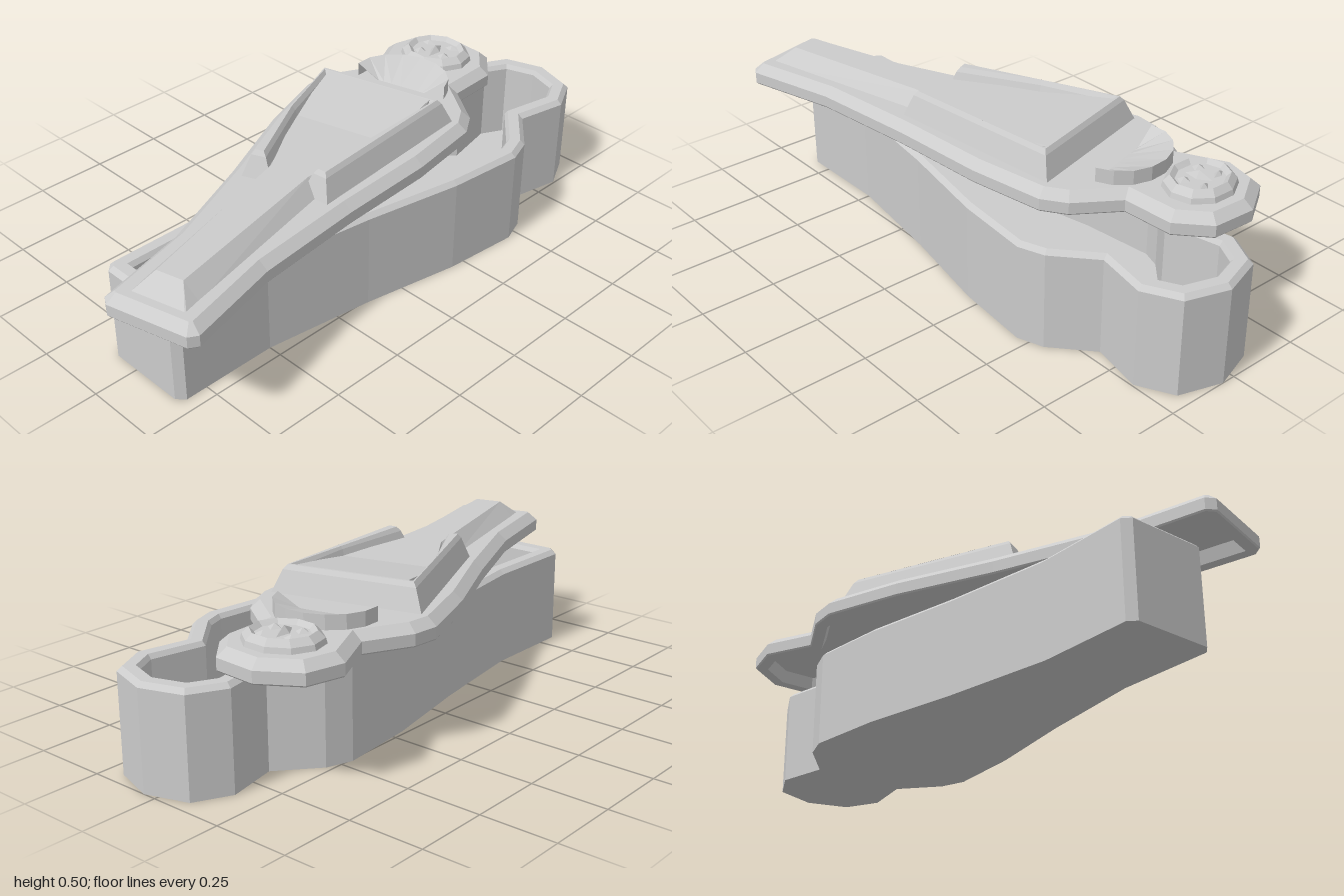
import * as THREE from 'three';

const material = new THREE.MeshStandardMaterial({ color: 0xcccccc, flatShading: true, side: THREE.DoubleSide });

// Mirror a right-hand half outline [x, z] into a full clockwise ring
const mirror = (half) => [
  ...half,
  ...half.filter(([x]) => x > 0).reverse().map(([x, z]) => [-x, z]),
];

// Move every edge of a clockwise ring inward by d, with mitred corners
function inset(ring, d) {
  const n = ring.length;
  const normal = (a, b) => {
    const dx = b[0] - a[0], dz = b[1] - a[1], l = Math.hypot(dx, dz);
    return [-dz / l, dx / l];
  };
  return ring.map((p, i) => {
    const m = normal(ring[(i + n - 1) % n], p), k = normal(p, ring[(i + 1) % n]);
    const s = d / (1 + m[0] * k[0] + m[1] * k[1]);
    return [p[0] + (m[0] + k[0]) * s, p[1] + (m[1] + k[1]) * s];
  });
}

const level = (ring, y) => ring.map(([x, z]) => [x, y, z]);

// Skin a series of rings; optional flat caps below the first and above the last
function loft(name, rings, { closed = true, capStart = false, capEnd = false } = {}) {
  const pos = [];
  const tri = (a, b, c) => pos.push(...a, ...b, ...c);
  for (let r = 0; r < rings.length - 1; r++) {
    const a = rings[r], b = rings[r + 1], n = a.length;
    for (let i = 0; i < (closed ? n : n - 1); i++) {
      const j = (i + 1) % n;
      tri(a[i], b[i], b[j]);
      tri(a[i], b[j], a[j]);
    }
  }
  const cap = (ring, up) => {
    const flat = ring.map((p) => new THREE.Vector2(p[0], p[2]));
    for (const [i, j, k] of THREE.ShapeUtils.triangulateShape(flat, [])) {
      const [a, b, c] = [ring[i], ring[j], ring[k]];
      const ny = (b[2] - a[2]) * (c[0] - a[0]) - (b[0] - a[0]) * (c[2] - a[2]);
      if ((ny > 0) === up) tri(a, b, c);
      else tri(a, c, b);
    }
  };
  if (capStart) cap(rings[0], false);
  if (capEnd) cap(rings[rings.length - 1], true);
  const g = new THREE.BufferGeometry();
  g.setAttribute('position', new THREE.Float32BufferAttribute(pos, 3));
  g.computeVertexNormals();
  const mesh = new THREE.Mesh(g, material);
  mesh.name = name;
  return mesh;
}

// Body-shaped outline shared by the coffin and its lid
const outline = mirror([
  [0, -1], [0.14, -0.955], [0.2, -0.84], [0.165, -0.67], [0.275, -0.545], [0.305, -0.46],
  [0.28, -0.2], [0.215, 0.13], [0.16, 0.5], [0.16, 0.825], [0.135, 0.85],
]);

// Hollow coffin with a bevelled rim
function makeCoffin() {
  const coffin = loft('coffin', [
    level(outline, 0),
    level(outline, 0.32),
    level(inset(outline, 0.015), 0.335),
    level(inset(outline, 0.05), 0.335),
    level(inset(outline, 0.06), 0.32),
    level(inset(outline, 0.06), 0.06),
  ], { capStart: true, capEnd: true });
  coffin.position.x = 0.045;
  return coffin;
}

function makeLid() {
  const lid = new THREE.Group();
  lid.name = 'lid';

  // Lid plate, recessed underneath
  lid.add(loft('lidPlate', [
    level(inset(outline, 0.055), 0.385),
    level(inset(outline, 0.04), 0.345),
    level(inset(outline, 0.004), 0.345),
    level(outline, 0.35),
    level(outline, 0.387),
    level(inset(outline, 0.03), 0.415),
  ], { capStart: true, capEnd: true }));

  // Shoulders and the two arms as one U-shaped relief
  const arms = mirror([[0.255, -0.455], [0.155, 0.17], [0.052, 0.155], [0.135, -0.157], [0.165, -0.375]]);
  lid.add(loft('shouldersAndArms', [
    level(arms, 0.41),
    level(inset(arms, 0.026), 0.485),
    level(inset(arms, 0.036), 0.5),
  ], { capEnd: true }));

  // Chest sloping into the legs: [z, base half width, top half width, top height]
  const sections = [
    [-0.415, 0.2, 0.19, 0.499],
    [-0.157, 0.19, 0.165, 0.465],
    [0.13, 0.11, 0.066, 0.465],
    [0.734, 0.097, 0.046, 0.465],
    [0.795, 0.097, 0.09, 0.414],
  ];
  lid.add(loft('chestAndLegs', sections.map(([z, b, t, y]) => [
    [-b, 0.41, z], [-t, y, z], [t, y, z], [b, 0.41, z],
  ]), { closed: false }));

  // Fan-shaped collar dipping towards the chest
  const arc = Array.from({ length: 9 }, (_, i) => {
    const a = Math.PI * (1 + i / 8);
    return [0.165 * Math.cos(a), -0.565 + 0.145 * Math.sin(a)];
  });
  lid.add(loft('collar', [
    level(arc, 0.41),
    level(arc, 0.462),
    arc.map(([x]) => [x * 0.55, 0.418, -0.565]),
  ], { closed: false }));

  // Head with a raised hood around a sunken face
  const oval = (rx, rz, y) => Array.from({ length: 10 }, (_, i) => {
    const a = ((i + 0.5) / 10) * Math.PI * 2;
    return [rx * Math.cos(a), y, -0.825 + rz * Math.sin(a)];
  });
  lid.add(loft('hood', [
    oval(0.128, 0.112, 0.41),
    oval(0.122, 0.106, 0.432),
    oval(0.1, 0.088, 0.452),
    oval(0.085, 0.073, 0.438),
  ], { capEnd: true }));

  // Four-sided pyramids for the facial features
  const feature = (name, x, z, w, l, top) => {
    const m = new THREE.Mesh(new THREE.ConeGeometry(1, 1, 4), material);
    m.name = name;
    m.scale.set(w, top - 0.43, l);
    m.position.set(x, (top + 0.43) / 2, z);
    lid.add(m);
  };
  feature('nose', 0, -0.82, 0.024, 0.062, 0.46);
  for (const s of [-1, 1]) {
    feature('brow', s * 0.045, -0.86, 0.04, 0.02, 0.452);
    feature('cheek', s * 0.045, -0.795, 0.035, 0.035, 0.452);
  }

  // Pushed askew on the coffin
  lid.rotation.y = 0.252;
  lid.position.set(0.021, 0, 0.137);
  return lid;
}

export function createModel() {
  const model = new THREE.Group();
  model.name = 'sarcophagus';
  model.add(makeCoffin(), makeLid());
  return model;
}
